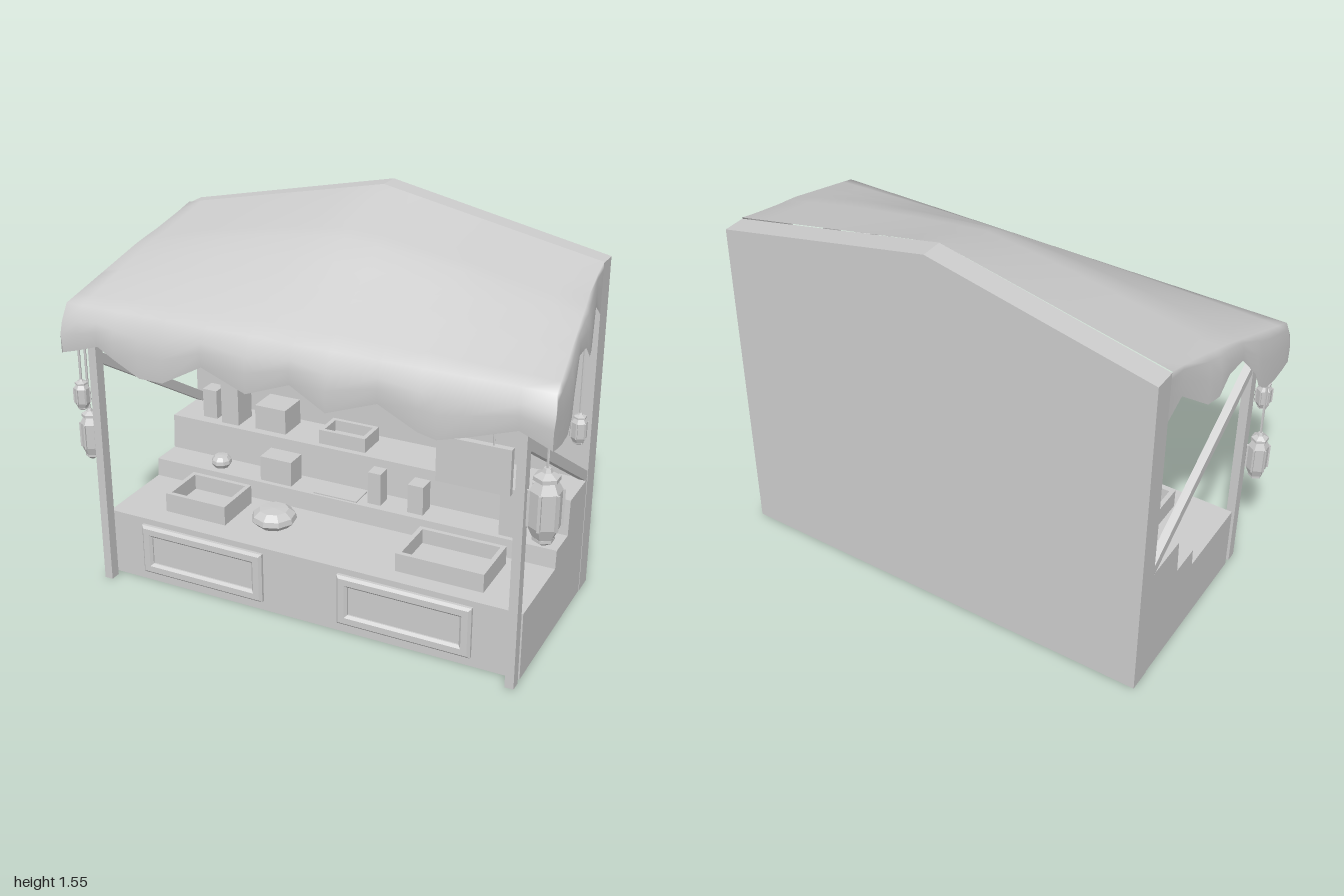
import * as THREE from 'three';

const CX = -0.0135; // middle of the stall
const material = new THREE.MeshStandardMaterial({ color: 0xcccccc, flatShading: true });
const clothMaterial = new THREE.MeshStandardMaterial({ color: 0xcccccc, side: THREE.DoubleSide });

function add(parent, name, geometry, x = 0, y = 0, z = 0, mat = material) {
  const mesh = new THREE.Mesh(geometry, mat);
  mesh.name = name;
  mesh.position.set(x, y, z);
  parent.add(mesh);
  return mesh;
}

// box given by its limits
function block(parent, name, x0, x1, y0, y1, z0, z1) {
  return add(parent, name, new THREE.BoxGeometry(x1 - x0, y1 - y0, z1 - z0),
    (x0 + x1) / 2, (y0 + y1) / 2, (z0 + z1) / 2);
}

// linear interpolation through [key, value] points
function at(points, k) {
  for (let i = 1; i < points.length; i++) {
    const [a, va] = points[i - 1], [b, vb] = points[i];
    if (k <= b) return va + (vb - va) * Math.max(0, (k - a) / (b - a));
  }
  return points[points.length - 1][1];
}

const polygon = (points) => new THREE.Shape(points.map(([x, y]) => new THREE.Vector2(x, y)));

function ring(w, h, t) {
  const rect = (a, b) => [[-a, -b], [a, -b], [a, b], [-a, b]];
  const shape = polygon(rect(w / 2, h / 2));
  shape.holes.push(polygon(rect(w / 2 - t, h / 2 - t).reverse()));
  return shape;
}

function canopy(parent) {
  const ridge = [[-0.36, 1.55], [-0.02, 1.435], [0.38, 1.16]];
  const eave = [[-0.36, 1.37], [-0.02, 1.285], [0.38, 1.16]];
  const eaveHalf = [[-0.36, 0.873], [-0.2, 0.88], [-0.08, 0.9], [0.38, 0.96]];
  const hemHalf = [[-0.36, 0.873], [-0.25, 0.88], [-0.1, 0.925], [0.06, 0.932], [0.22, 0.963], [0.38, 0.97]];
  const sideHem = [[-0.36, 1.17], [-0.28, 1.225], [-0.14, 1.115], [-0.08, 1.115], [-0.02, 1.17], [0.07, 1.175],
    [0.16, 1.07], [0.19, 1.0], [0.25, 0.96], [0.32, 0.955], [0.38, 0.965]];
  const frontHem = [[-0.97, 0.97], [-0.9, 0.99], [-0.81, 1.02], [-0.74, 0.98], [-0.63, 0.925], [-0.53, 0.925],
    [-0.36, 1.02], [-0.18, 0.95], [0, 1.02], [0.14, 0.94], [0.34, 1.015], [0.49, 0.94], [0.56, 0.925],
    [0.66, 0.955], [0.85, 1.02], [0.97, 0.97]];
  const rows = [];
  // roof and the two side drapes
  for (const [z, hem] of sideHem) {
    const r = at(ridge, z), e = at(eave, z), we = at(eaveHalf, z), wh = at(hemHalf, z);
    const round = (z + 0.36) / 0.74;
    const top = frontHem.map(([x]) => {
      const u = Math.abs(x / 0.97);
      const rise = (1 - u) * (1 - round) + (1 - u * u) * round;
      return [x / 0.97 * we, e + (r - e) * rise, z];
    });
    const side = (s) => [[s * wh, hem, z], [s * wh, (e + hem) / 2, z], [s * (we + wh) / 2, e - (e - hem) * 0.15, z]];
    rows.push([...side(-1), ...top, ...side(1).reverse()]);
  }
  // front drape
  for (const [z, drop] of [[0.405, 0.35], [0.42, 0.6], [0.413, 1]]) {
    const top = frontHem.map(([x, y]) => [x, 1.16 + (y - 1.16) * drop, z]);
    const corner = 1.16 - 0.19 * drop;
    const side = (s) => [0, 0.5, 0.85].map((t) => [s * 0.97, 0.97 + (corner - 0.97) * t, z]);
    rows.push([...side(-1), ...top, ...side(1).reverse()]);
  }
  const n = rows[0].length, index = [];
  for (let r = 0; r < rows.length - 1; r++) {
    for (let c = 0; c < n - 1; c++) {
      const a = r * n + c, b = a + n;
      index.push(a, b, a + 1, a + 1, b, b + 1);
    }
  }
  const g = new THREE.BufferGeometry();
  g.setAttribute('position', new THREE.Float32BufferAttribute(rows.flat(2), 3));
  g.setIndex(index);
  g.computeVertexNormals();
  add(parent, 'canopy', g, CX, 0, 0, clothMaterial);
}

// six-sided lantern on a cord
function lantern(parent, x, z, bottom, top, radius, cordTop) {
  const g = new THREE.Group();
  g.name = 'lantern';
  const h = top - bottom;
  const lathe = (pts) => new THREE.LatheGeometry(pts.map(([r, y]) => new THREE.Vector2(r * radius, y * h)), 6);
  add(g, 'lanternBody', lathe([[0, 0.1], [0.55, 0.1], [0.88, 0.27], [0.88, 0.72], [0.5, 0.87], [0, 0.87]]));
  add(g, 'lanternFoot', lathe([[0, 0], [0.2, 0.02], [0.6, 0.08], [0.6, 0.12], [0, 0.12]]));
  add(g, 'lanternCap', lathe([[0, 0.85], [0.72, 0.85], [0.72, 0.9], [0.3, 0.95], [0.2, 1], [0, 1]]));
  for (let i = 0; i < 6; i++) {
    const a = i * Math.PI / 3;
    add(g, 'lanternRib', new THREE.BoxGeometry(radius * 0.16, h * 0.46, radius * 0.16),
      Math.sin(a) * radius * 0.89, h * 0.495, Math.cos(a) * radius * 0.89).rotation.y = a;
  }
  const cord = cordTop - top;
  add(g, 'lanternCord', new THREE.CylinderGeometry(0.005, 0.005, cord, 5), 0, h + cord / 2, 0);
  g.position.set(x, bottom, z);
  parent.add(g);
}

// open display tray
function tray(parent, x0, x1, y0, y1, z0, z1) {
  const walls = new THREE.ExtrudeGeometry(ring(x1 - x0, z1 - z0, 0.018), { depth: y1 - y0, bevelEnabled: false });
  walls.rotateX(-Math.PI / 2);
  add(parent, 'trayWalls', walls, (x0 + x1) / 2, y0, (z0 + z1) / 2);
  block(parent, 'trayFloor', x0 + 0.01, x1 - 0.01, y0, y0 + 0.015, z0 + 0.01, z1 - 0.01);
}

// rounded goods, flattened at the bottom
function bun(parent, x, y, z, r, h) {
  const pts = [[0, 0], [0.72, 0], [1, 0.35], [0.95, 0.65], [0.65, 0.95], [0, 1]];
  add(parent, 'roundGoods', new THREE.LatheGeometry(pts.map(([a, b]) => new THREE.Vector2(a * r, b * h)), 9), x, y, z);
}

export function createModel() {
  const stall = new THREE.Group();
  stall.name = 'marketStall';

  // gabled back wall
  const wall = polygon([[-0.873, 0], [0.873, 0], [0.873, 1.365], [0, 1.55], [-0.873, 1.365]]);
  add(stall, 'backWall', new THREE.ExtrudeGeometry(wall, { depth: 0.09, bevelEnabled: false }), CX, 0, -0.45);

  // stepped counter, side profile swept across the width
  const steps = polygon([[-0.32, 0], [0.37, 0], [0.37, 0.495], [0.165, 0.495], [0.157, 0.35],
    [0.03, 0.35], [0.025, 0.275], [-0.32, 0.275]]);
  const counter = new THREE.ExtrudeGeometry(steps, { depth: 1.742, bevelEnabled: false });
  counter.rotateY(Math.PI / 2);
  add(stall, 'steppedCounter', counter, CX - 0.871, 0, 0);

  // framed front panels
  for (const x of [-0.46, 0.4]) {
    const frame = new THREE.ExtrudeGeometry(ring(0.52, 0.19, 0.025),
      { depth: 0.012, bevelThickness: 0.01, bevelSize: 0.01, bevelSegments: 1 });
    add(stall, 'panelFrame', frame, x, 0.147, 0.322);
    block(stall, 'panelBoard', x - 0.245, x + 0.245, 0.067, 0.227, 0.31, 0.328);
  }

  // posts and diagonal braces
  for (const s of [-1, 1]) {
    const x = CX + s * 0.856;
    block(stall, 'frontPost', x - 0.017, x + 0.017, 0, 1.01, 0.345, 0.388);
    add(stall, 'brace', new THREE.BoxGeometry(0.03, 0.038, 0.85), x, 0.732, 0).rotation.x = -Math.atan2(0.44, 0.71);
  }

  canopy(stall);

  // hanging board
  block(stall, 'hangingBoard', 0.515, 0.79, 0.73, 0.905, 0.31, 0.335);
  for (const x of [0.58, 0.72]) {
    add(stall, 'boardCord', new THREE.CylinderGeometry(0.004, 0.004, 0.26, 5), x, 1.03, 0.322);
  }

  // lanterns
  lantern(stall, -0.957, 0.315, 0.485, 0.705, 0.045, 0.98);
  lantern(stall, -0.917, 0.405, 0.74, 0.87, 0.034, 1.0);
  lantern(stall, 0.938, 0.403, 0.615, 0.905, 0.066, 0.99);
  lantern(stall, 0.903, -0.048, 0.785, 0.912, 0.034, 1.17);

  // boxed goods: x0, x1, bottom, top, z0, z1
  const boxes = [
    [-0.765, -0.7, 0.495, 0.62, -0.28, -0.21], [-0.665, -0.585, 0.495, 0.695, -0.3, -0.19],
    [-0.51, -0.37, 0.495, 0.6, -0.33, -0.2], [-0.405, -0.265, 0.35, 0.455, -0.14, -0.05],
    [0.07, 0.125, 0.35, 0.485, -0.12, -0.06], [0.24, 0.305, 0.35, 0.47, -0.13, -0.06],
    [0.62, 0.7, 0.35, 0.55, -0.13, -0.05], [-0.16, 0.03, 0.35, 0.355, -0.14, -0.04],
  ];
  for (const b of boxes) block(stall, 'boxedGoods', ...b);

  // trays and round goods
  tray(stall, -0.21, -0.005, 0.495, 0.555, -0.32, -0.19);
  tray(stall, -0.68, -0.41, 0.275, 0.355, 0.02, 0.23);
  tray(stall, 0.33, 0.68, 0.275, 0.35, 0.02, 0.25);
  bun(stall, 0.405, 0.495, -0.25, 0.064, 0.05);
  bun(stall, -0.612, 0.35, -0.09, 0.043, 0.05);
  bun(stall, -0.245, 0.275, 0.13, 0.09, 0.07);

  return stall;
}
